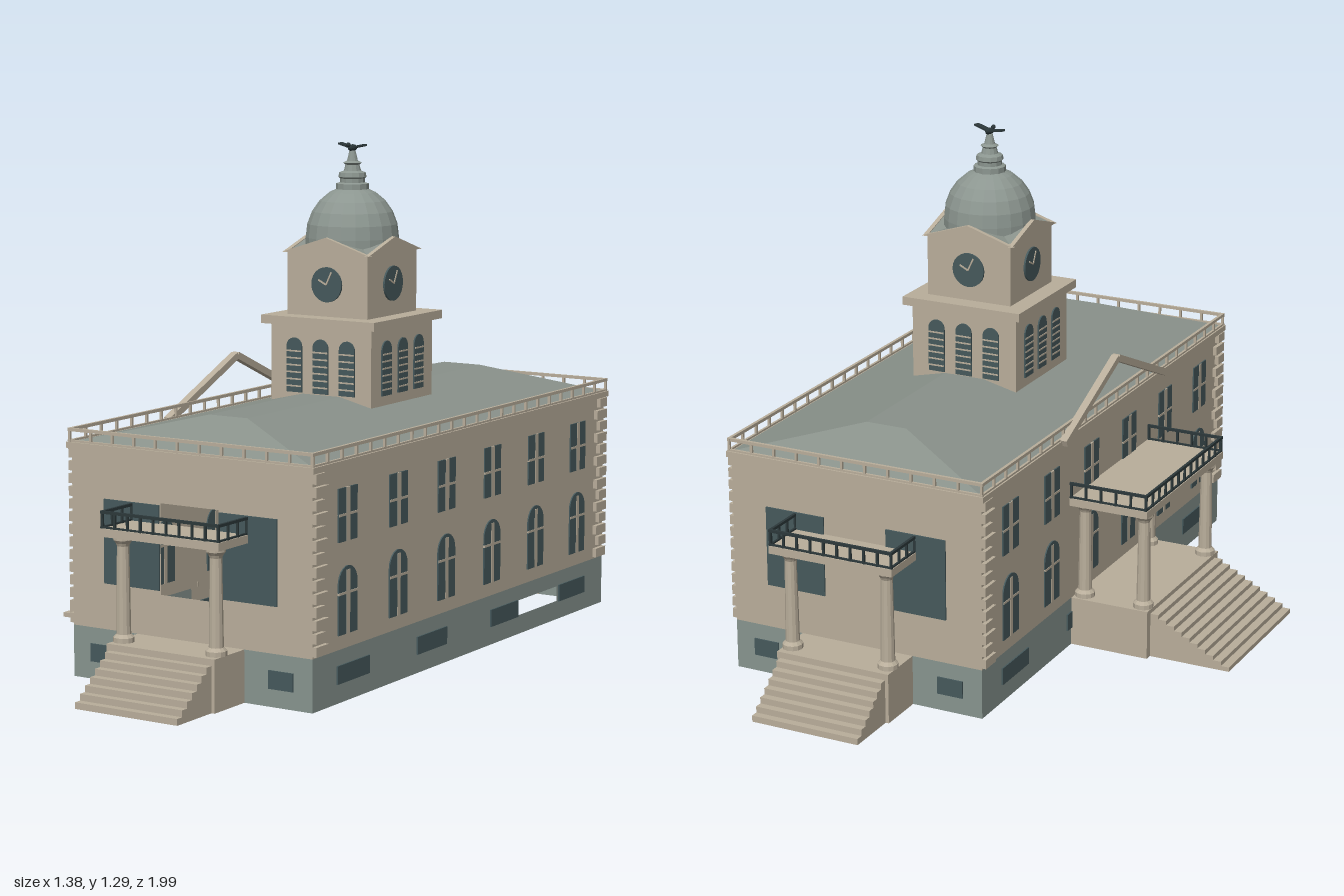
import * as THREE from 'three';

const mat = (name, color, side = THREE.FrontSide) => {
  const m = new THREE.MeshStandardMaterial({ color, side });
  m.name = name;
  return m;
};

export function createModel() {
  const stone = mat('limestone', 0xb9ae9b);
  const wallMat = mat('wall limestone', 0xb9ae9b, THREE.DoubleSide);
  const baseMat = mat('grey green base', 0x87948f, THREE.DoubleSide);
  const roofMat = mat('roof green', 0x89918a, THREE.DoubleSide);
  const domeMat = mat('dome green', 0x8c9690);
  const glass = mat('window teal', 0x46595c);
  const iron = mat('dark iron', 0x2c383a);

  const model = new THREE.Group();
  model.name = 'courthouse';
  const building = new THREE.Group();
  building.name = 'building';
  building.position.x = 0.12;
  building.rotation.y = 0.31;
  model.add(building);

  const HX = 0.35, HZ = 0.735, BASE = 0.13, TOP = 0.575;

  const add = (parent, name, geo, material, x = 0, y = 0, z = 0) => {
    const m = new THREE.Mesh(geo, material);
    m.name = name;
    m.position.set(x, y, z);
    parent.add(m);
    return m;
  };
  const box = (p, name, material, w, h, d, x, y, z) =>
    add(p, name, new THREE.BoxGeometry(w, h, d), material, x, y, z);
  const group = (p, name, x = 0, y = 0, z = 0, ry = 0) => {
    const g = new THREE.Group();
    g.name = name;
    g.position.set(x, y, z);
    g.rotation.y = ry;
    p.add(g);
    return g;
  };
  const rect = (x0, y0, x1, y1, C = THREE.Shape) => new C([
    new THREE.Vector2(x0, y0), new THREE.Vector2(x1, y0), new THREE.Vector2(x1, y1), new THREE.Vector2(x0, y1)]);
  const archPlate = (w, h, d) => {
    const s = new THREE.Shape();
    s.moveTo(-w / 2, 0).lineTo(w / 2, 0).lineTo(w / 2, h - w / 2);
    s.absarc(0, h - w / 2, w / 2, 0, Math.PI, false);
    return new THREE.ExtrudeGeometry(s, { depth: d, bevelEnabled: false, curveSegments: 6 }).translate(0, 0, -d / 2);
  };
  const flat = (geo) => {
    const g = geo.toNonIndexed();
    g.computeVertexNormals();
    return g;
  };

  // Wall sheet with an optional opening
  const sheet = (p, name, material, half, y0, y1, hole) => {
    const s = rect(-half, y0, half, y1);
    if (hole) s.holes.push(rect(...hole, THREE.Path));
    return add(p, name, new THREE.ShapeGeometry(s), material);
  };

  // Long sides: two rows of windows, cellar windows and corner quoins
  for (const s of [1, -1]) {
    const side = group(building, s > 0 ? 'leftWall' : 'rightWall', s * HX, 0, 0, s * Math.PI / 2);
    sheet(side, 'wall', wallMat, HZ, BASE, TOP);
    sheet(side, 'base', baseMat, HZ, 0, BASE, s > 0 ? [0.26, 0.05, 0.475, 0.09] : null);
    for (let i = 0; i < 6; i++) {
      const u = (i - 2.5) * 0.233;
      box(side, 'upperWindow', glass, 0.084, 0.13, 0.007, u, 0.455, 0);
      add(side, 'archedWindow', archPlate(0.084, 0.165, 0.007), glass, u, 0.165, 0);
      box(side, 'upperMullion', stone, 0.016, 0.13, 0.0095, u, 0.455, 0);
      box(side, 'upperCrossbar', stone, 0.084, 0.006, 0.0095, u, 0.455, 0);
      box(side, 'lowerMullion', stone, 0.014, 0.155, 0.0095, u, 0.243, 0);
      box(side, 'lowerCrossbar', stone, 0.084, 0.006, 0.0095, u, 0.265, 0);
    }
    for (let i = 0; i < 4; i++)
      box(side, 'cellarWindow', glass, 0.145, 0.045, 0.008, -s * (i - 1.5) * 0.371, 0.07, 0);
    for (const e of [1, -1]) for (let i = 0; i < 14; i++) {
      const w = i % 2 ? 0.04 : 0.055;
      box(side, 'quoin', stone, w, 0.024, 0.016, e * (HZ - w / 2), 0.147 + i * 0.0317, 0.003);
    }
  }

  // Short ends: dark window panels, with an open centre at the front
  for (const s of [1, -1]) {
    const end = group(building, s > 0 ? 'frontWall' : 'backWall', 0, 0, s * HZ, s > 0 ? 0 : Math.PI);
    sheet(end, 'wall', wallMat, HX, BASE, TOP, s > 0 ? [-0.085, 0.235, 0.085, 0.46] : null);
    sheet(end, 'base', baseMat, HX, 0, BASE);
    for (const e of [1, -1]) {
      box(end, 'endWindow', glass, 0.165, 0.21, 0.008, e * 0.17, 0.35, 0);
      box(end, 'cellarWindow', glass, 0.07, 0.045, 0.008, e * 0.262, 0.067, 0);
    }
  }

  // Eaves cornice and hipped roof with a flat top
  box(building, 'cornice', stone, HX * 2 + 0.02, 0.015, HZ * 2 + 0.02, 0, 0.58, 0);
  const hip = new THREE.BoxGeometry(2, 1, 2);
  const hp = hip.attributes.position;
  for (let i = 0; i < hp.count; i++) {
    const up = hp.getY(i) > 0;
    hp.setXYZ(i, hp.getX(i) * (up ? 0.056 : HX), up ? 0.657 : 0.587, hp.getZ(i) * (up ? 0.568 : HZ));
  }
  hip.computeVertexNormals();
  add(building, 'hippedRoof', flat(hip), roofMat);

  // A run of railing along local x, centred
  const railing = (p, name, material, len, y, h, gap, t, x, z, ry) => {
    const r = group(p, name, x, y, z, ry);
    box(r, 'topRail', material, len, t, t, 0, h - t / 2, 0);
    box(r, 'bottomRail', material, len, t * 0.6, t * 0.8, 0, t * 0.4, 0);
    const n = Math.round(len / gap);
    for (let i = 0; i <= n; i++)
      box(r, 'post', material, t * 0.8, h, t * 0.8, (i / n - 0.5) * (len - t), h / 2, 0);
  };
  for (const s of [1, -1]) {
    railing(building, 'roofRailing', stone, HX * 2 + 0.015, 0.587, 0.035, 0.065, 0.008, 0, s * (HZ + 0.003), 0);
    railing(building, 'roofRailing', stone, HZ * 2 + 0.015, 0.587, 0.035, 0.065, 0.008, s * (HX + 0.003), 0, Math.PI / 2);
  }

  // Open pediment beams over the side entrance
  for (const s of [1, -1]) {
    const beam = box(building, 'pedimentBeam', stone, 0.02, 0.018, Math.hypot(0.31, 0.135), -0.364, 0.65, s * 0.155);
    beam.rotation.x = s * Math.atan2(0.135, 0.31);
  }

  // Porch: platform, stairs, columns, balcony slab and iron rail; outward is +z
  const columnProfile = [[0, 0], [0.026, 0], [0.026, 0.012], [0.018, 0.02], [0.015, 0.235], [0.018, 0.242], [0.024, 0.25], [0.024, 0.262], [0, 0.262]]
    .map(([r, y]) => new THREE.Vector2(r, y));
  const porch = (name, x, z, ry, half, depth, stairHalf, run, steps, cols) => {
    const p = group(building, name, x, 0, z, ry);
    box(p, 'platform', stone, half * 2 - 0.03, BASE, depth, 0, BASE / 2, depth / 2);
    for (let i = 0; i < steps; i++) {
      const h = BASE * (steps - i) / (steps + 1), d = run / steps;
      box(p, 'step', stone, stairHalf * 2, h, d, 0, h / 2, depth + d * (i + 0.5));
    }
    for (const [cx, cz] of cols) for (const e of [1, -1])
      add(p, 'column', flat(new THREE.LatheGeometry(columnProfile, 12)), stone, e * cx, BASE, cz);
    box(p, 'balconySlab', stone, half * 2, 0.02, depth + 0.005, 0, 0.4, depth / 2);
    railing(p, 'balconyRail', iron, half * 2, 0.41, 0.043, 0.04, 0.007, 0, depth - 0.002, 0);
    for (const e of [1, -1])
      railing(p, 'balconySideRail', iron, depth, 0.41, 0.043, 0.04, 0.007, e * (half - 0.004), depth / 2, Math.PI / 2);
  };
  porch('frontPorch', 0, HZ, 0, 0.172, 0.125, 0.148, 0.14, 7, [[0.135, 0.085]]);
  porch('backPorch', 0, -HZ, Math.PI, 0.172, 0.125, 0.148, 0.14, 7, [[0.135, 0.085]]);
  porch('sidePortico', -HX, 0, -Math.PI / 2, 0.245, 0.215, 0.21, 0.22, 10, [[0.2, 0.19], [0.2, 0.025]]);

  // Tower stages
  const tower = group(building, 'tower');
  box(tower, 'belfry', stone, 0.3, 0.235, 0.3, 0, 0.7175, 0);
  box(tower, 'belfryCornice', stone, 0.338, 0.022, 0.338, 0, 0.844, 0);
  box(tower, 'clockStage', stone, 0.24, 0.165, 0.24, 0, 0.937, 0);
  const gable = (w, h, d) => new THREE.ExtrudeGeometry(new THREE.Shape([
    new THREE.Vector2(-w / 2, 0), new THREE.Vector2(w / 2, 0), new THREE.Vector2(0, h)]),
  { depth: d, bevelEnabled: false }).translate(0, 0, -d / 2);

  for (let k = 0; k < 4; k++) {
    const face = group(tower, 'towerFace', 0, 0, 0, k * Math.PI / 2);
    // Louvred arches
    for (const u of [-0.079, 0, 0.079]) {
      add(face, 'belfryArch', archPlate(0.046, 0.14, 0.006), glass, u, 0.66, 0.151);
      for (let i = 0; i < 6; i++)
        box(face, 'louvre', stone, 0.044, 0.004, 0.005, u, 0.676 + i * 0.018, 0.153);
    }
    // Clock dial and hands
    const dial = add(face, 'clockDial', new THREE.CylinderGeometry(0.045, 0.045, 0.006, 24), glass, 0, 0.937, 0.122);
    dial.rotation.x = Math.PI / 2;
    for (const [len, a] of [[0.036, -0.45], [0.026, 1.1]]) {
      const hand = box(face, 'clockHand', stone, 0.004, len, 0.002,
        -Math.sin(a) * len / 2, 0.937 + Math.cos(a) * len / 2, 0.126);
      hand.rotation.z = a;
    }
    // Gable front
    add(face, 'clockGable', gable(0.262, 0.042, 0.012), stone, 0, 1.015, 0.123);
  }
  for (const a of [0, Math.PI / 2])
    add(tower, 'crossGableRoof', gable(0.25, 0.04, 0.236), roofMat, 0, 1.015, 0).rotation.y = a;

  // Dome and lantern
  const domeProfile = [[0.12, 1.02], [0.12, 1.05]];
  for (let i = 1; i <= 6; i++) {
    const a = i / 6 * Math.PI / 2;
    domeProfile.push([Math.max(0.12 * Math.cos(a), 0), 1.05 + 0.132 * Math.sin(a)]);
  }
  const lathe = (pts, n) => flat(new THREE.LatheGeometry(pts.map(([r, y]) => new THREE.Vector2(r, y)), n));
  add(tower, 'dome', lathe(domeProfile, 20), domeMat);
  add(tower, 'lantern', lathe([[0.042, 1.17], [0.042, 1.187], [0.032, 1.19], [0.032, 1.2], [0.036, 1.204], [0.034, 1.215],
    [0.022, 1.22], [0.018, 1.235], [0.024, 1.24], [0.014, 1.245], [0.008, 1.27], [0, 1.272]], 12), domeMat);

  // Winged finial
  const bird = group(tower, 'wingedFinial', 0, 1.278, 0, -0.31);
  const body = add(bird, 'body', new THREE.SphereGeometry(0.009, 8, 6), iron);
  body.scale.set(0.9, 1, 1.8);
  for (const s of [1, -1]) {
    const wing = box(bird, 'wing', iron, 0.045, 0.005, 0.016, s * 0.026, 0.005, 0);
    wing.rotation.z = s * 0.18;
  }
  add(bird, 'head', new THREE.SphereGeometry(0.006, 8, 6), iron, 0, 0.008, 0.014);

  return model;
}
